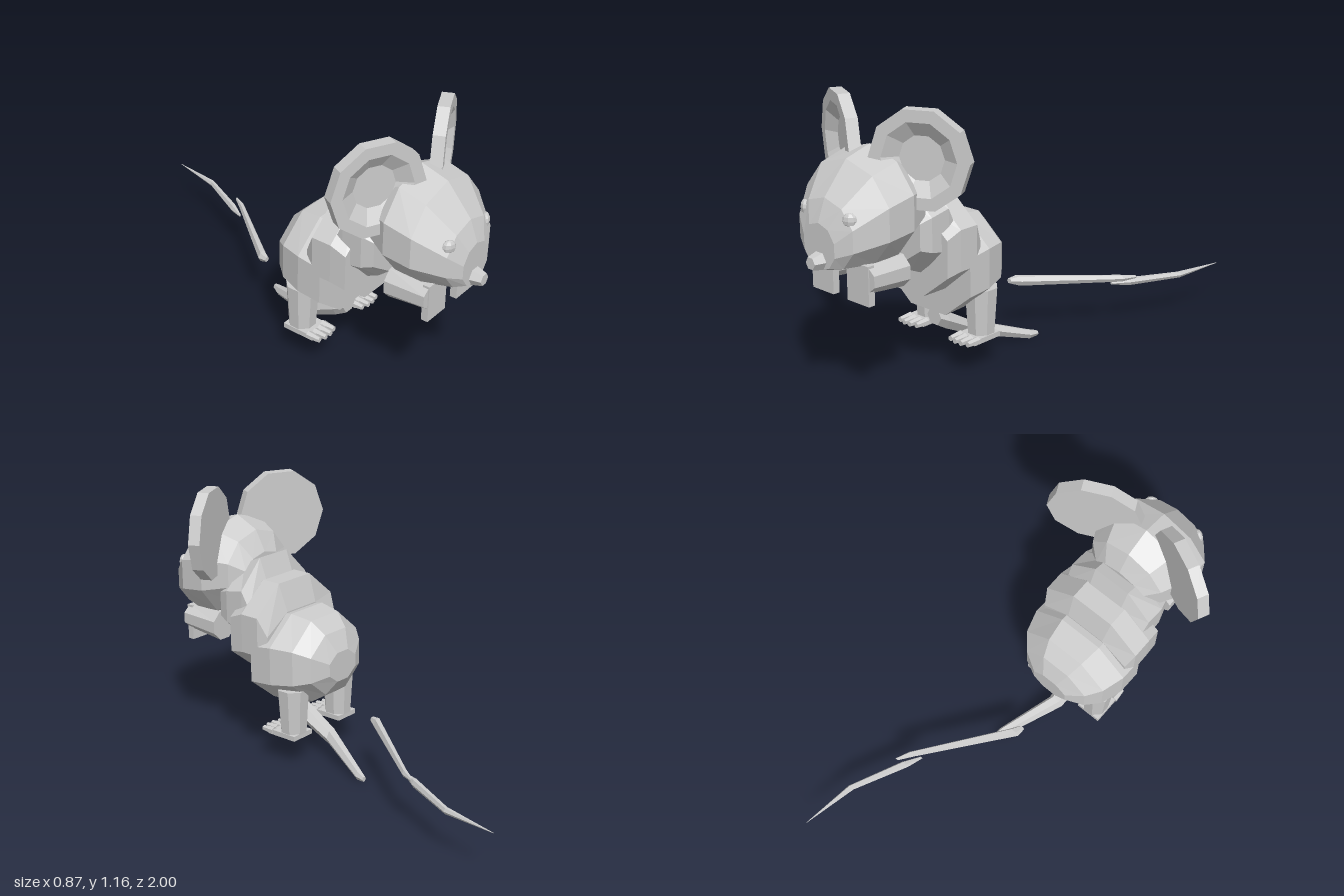
import * as THREE from 'three';

const MID = -0.025; // x of the body's mirror plane

// Skin a closed body through n-sided rings [z, bottom, top, halfWidth, x], front to back.
function loft(rings, n = 8, start = Math.PI / 8) {
  const pos = [], idx = [];
  const k = n === 10 ? 1 / Math.cos(Math.PI / 10) : 1 / Math.cos(start);
  const ky = n === 10 ? 1 : k;
  for (const [z, y0, y1, hw, x = 0] of rings) {
    for (let j = 0; j < n; j++) {
      const a = start + (j / n) * Math.PI * 2;
      pos.push(x + Math.cos(a) * hw * k, (y0 + y1) / 2 + Math.sin(a) * (y1 - y0) / 2 * ky, z);
    }
  }
  for (let i = 0; i < rings.length - 1; i++) {
    for (let j = 0; j < n; j++) {
      const a = i * n + j, b = i * n + (j + 1) % n, c = a + n, d = b + n;
      idx.push(a, c, b, b, c, d);
    }
  }
  const last = (rings.length - 1) * n;
  for (let j = 1; j < n - 1; j++) {
    idx.push(0, j, j + 1, last, last + j + 1, last + j);
  }
  const g = new THREE.BufferGeometry();
  g.setAttribute('position', new THREE.Float32BufferAttribute(pos, 3));
  g.setIndex(idx);
  g.computeVertexNormals();
  return g;
}

// Tail pieces: points [x, y, z, radius]
const tail = (pts) => loft(pts.map(([x, y, z, r]) => [z, y - r, y + r, r, x]), 6, 0);

export function createModel() {
  const model = new THREE.Group();
  const grey = new THREE.MeshStandardMaterial({ color: 0xcccccc, flatShading: true });
  grey.name = 'grey';

  const add = (name, geometry, x = 0, y = 0, z = 0, parent = model) => {
    const m = new THREE.Mesh(geometry, grey);
    m.name = name;
    m.position.set(x, y, z);
    parent.add(m);
    return m;
  };

  // Head and overlapping body segments
  add('head', loft([
    [0.955, 0.575, 0.76, 0.085], [0.92, 0.565, 0.85, 0.15], [0.81, 0.555, 0.975, 0.23],
    [0.69, 0.56, 1.01, 0.235], [0.58, 0.62, 0.96, 0.18], [0.53, 0.68, 0.87, 0.12],
  ], 10, Math.PI / 10), MID);
  add('neck', loft([
    [0.62, 0.53, 0.79, 0.19], [0.57, 0.49, 0.83, 0.205], [0.48, 0.45, 0.87, 0.205], [0.44, 0.45, 0.76, 0.2],
  ]), MID);
  add('chest', loft([
    [0.52, 0.37, 0.74, 0.235], [0.45, 0.37, 0.78, 0.24], [0.36, 0.37, 0.78, 0.24], [0.32, 0.38, 0.66, 0.22],
  ]), MID);
  add('hips', loft([
    [0.4, 0.255, 0.64, 0.24], [0.29, 0.26, 0.66, 0.24], [0.19, 0.28, 0.645, 0.21],
    [0.13, 0.32, 0.59, 0.16], [0.09, 0.38, 0.51, 0.085],
  ]), MID);

  // Nose
  const nose = new THREE.CylinderGeometry(0.026, 0.042, 0.06, 6).rotateX(Math.PI / 2).rotateZ(Math.PI / 6 * 3);
  add('nose', nose, MID, 0.612, 0.97);

  // Dished ear: flat back, raised rim, sunken floor
  const earGeo = new THREE.LatheGeometry([
    [0, -0.025], [0.2, -0.025], [0.2, 0.025], [0.15, 0.025], [0.09, -0.012], [0, -0.012],
  ].map(([r, y]) => new THREE.Vector2(r, y)), 10, Math.PI / 2).rotateX(Math.PI / 2);

  const eyeGeo = new THREE.SphereGeometry(0.03, 8, 6).scale(1, 1, 0.6);

  const armGeo = loft([[0.855, 0.49, 0.6, 0.065], [0.67, 0.47, 0.6, 0.065]], 8);
  const pawGeo = new THREE.BoxGeometry(0.12, 0.16, 0.03);

  const legGeo = new THREE.CylinderGeometry(0.071, 0.058, 0.2, 8, 1, false, Math.PI / 8);
  const footGeo = new THREE.BoxGeometry(0.115, 0.022, 0.15);
  const toeGeo = new THREE.CylinderGeometry(0.012, 0.018, 0.06, 6).rotateX(Math.PI / 2);

  for (const [side, s] of [['left', 1], ['right', -1]]) {
    const at = (x) => MID + s * x;
    add(side + 'Ear', earGeo, at(0.222), 0.98, 0.64).rotation.y = s * 0.45;
    add(side + 'Eye', eyeGeo, at(0.125), 0.785, 0.91).rotation.y = s * 0.5;

    // Front limb
    add(side + 'Arm', armGeo, at(0.122));
    add(side + 'Paw', pawGeo, at(0.1), 0.52, 0.845);

    // Hind limb
    add(side + 'Leg', legGeo, at(0.148), 0.25, 0.243);
    const foot = new THREE.Group();
    foot.name = side + 'Foot';
    foot.position.set(at(0.148), 0.142, 0);
    model.add(foot);
    add('sole', footGeo, 0, 0, 0.265, foot);
    for (let i = 0; i < 4; i++) {
      add('toe', toeGeo, -0.048 + i * 0.032, 0.003, 0.355 - Math.abs(i - 1.5) * 0.008, foot);
    }
  }

  // Tail in three separate pieces
  add('tailBase', tail([
    [-0.02, 0.215, 0.37, 0.04], [-0.022, 0.19, 0.32, 0.045], [-0.02, 0.1, 0.15, 0.035],
    [0.085, 0.025, -0.09, 0.022], [0.1, 0.022, -0.13, 0.012],
  ]));
  add('tailMiddle', tail([
    [-0.015, 0.245, -0.08, 0.012], [0.0, 0.24, -0.12, 0.025],
    [0.28, 0.222, -0.48, 0.016], [0.315, 0.222, -0.54, 0.007],
  ]));
  add('tailTip', tail([
    [0.245, 0.195, -0.46, 0.006], [0.28, 0.193, -0.53, 0.018],
    [0.39, 0.19, -0.76, 0.014], [0.43, 0.192, -1, 0.001],
  ]));

  return model;
}
